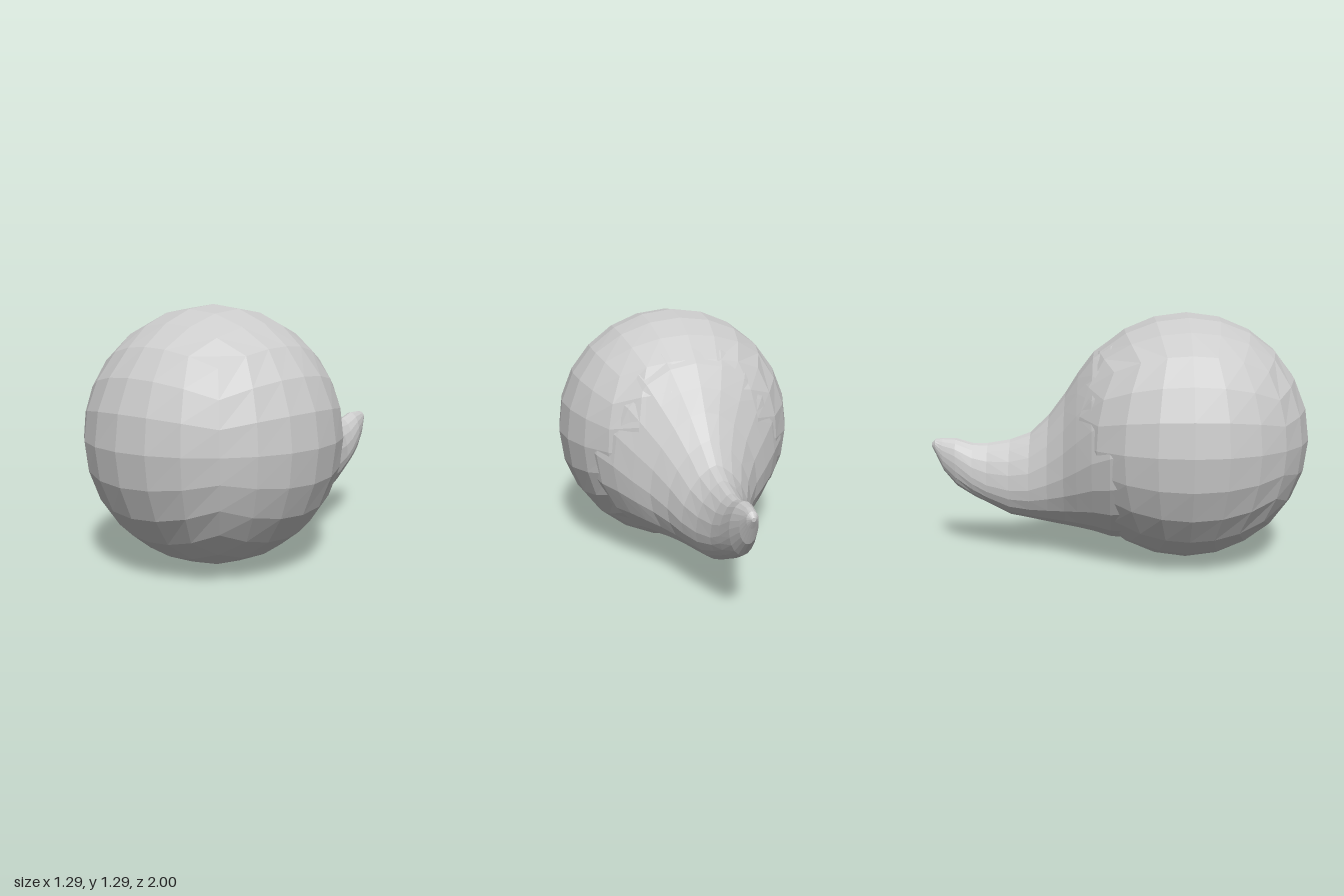
import * as THREE from 'three';

const R = 0.647;
const CENTER = new THREE.Vector3(0, 0.648, 0.353);
const material = new THREE.MeshStandardMaterial({
  color: 0xcccccc, flatShading: true, side: THREE.DoubleSide,
});

function meshFrom(name, positions, index) {
  const geometry = new THREE.BufferGeometry();
  geometry.setAttribute('position', new THREE.Float32BufferAttribute(positions, 3));
  geometry.setIndex(index);
  geometry.computeVertexNormals();
  const mesh = new THREE.Mesh(geometry, material);
  mesh.name = name;
  return mesh;
}

// Ball: a cube grid pushed out to a sphere, left open where the tail covers it
function createBody() {
  const box = new THREE.BoxGeometry(2, 2, 2, 6, 6, 6);
  const pos = box.attributes.position;
  const v = new THREE.Vector3();
  const spread = (t) => Math.tan(t * Math.PI / 4);
  const points = [];
  for (let i = 0; i < pos.count; i++) {
    v.fromBufferAttribute(pos, i);
    v.set(spread(v.x), spread(v.y), spread(v.z)).setLength(R).add(CENTER);
    points.push(v.x, v.y, v.z);
  }
  const index = [];
  for (let i = 0; i < box.index.count; i += 3) {
    const tri = [0, 1, 2].map((k) => box.index.getX(i + k));
    if (tri.some((k) => points[k * 3 + 2] > -0.12)) index.push(...tri);
  }
  return meshFrom('body', points, index);
}

// Tail: cross-sections [z, top, bottom, half width, height of widest point, upper pinch]
function createTail() {
  const sections = [
    [0.04, 1.19, 0.10, 0.545, 0.648, 1],
    [-0.04, 1.155, 0.105, 0.51, 0.62, 1],
    [-0.13, 1.09, 0.13, 0.44, 0.58, 1],
    [-0.21, 0.985, 0.145, 0.36, 0.52, 1.05],
    [-0.28, 0.875, 0.155, 0.285, 0.47, 1.15],
    [-0.37, 0.755, 0.17, 0.22, 0.42, 1.3],
    [-0.47, 0.66, 0.19, 0.175, 0.38, 1.4],
    [-0.58, 0.62, 0.21, 0.135, 0.37, 1.4],
    [-0.70, 0.60, 0.27, 0.10, 0.39, 1.3],
    [-0.78, 0.60, 0.31, 0.085, 0.43, 1.2],
    [-0.87, 0.627, 0.365, 0.068, 0.50, 1],
    [-0.94, 0.627, 0.45, 0.045, 0.54, 1],
    [-0.98, 0.622, 0.54, 0.028, 0.585, 1],
    [-1.0, 0.60, 0.58, 0.01, 0.59, 1],
  ];
  const sides = 20;
  const points = [], index = [];
  for (const [z, top, bottom, width, mid, pinch] of sections) {
    for (let j = 0; j < sides; j++) {
      const a = (j / sides) * Math.PI * 2;
      const c = Math.cos(a), s = Math.sin(a);
      const x = Math.sign(c) * width * Math.abs(c) ** (s > 0 ? pinch : 1);
      points.push(x, mid + s * (s > 0 ? top - mid : mid - bottom), z);
    }
  }
  for (let i = 0; i < sections.length - 1; i++) {
    for (let j = 0; j < sides; j++) {
      const a = i * sides + j, b = i * sides + (j + 1) % sides;
      index.push(a, a + sides, b, b, a + sides, b + sides);
    }
  }
  // Close the tip
  const last = (sections.length - 1) * sides;
  for (let j = 1; j < sides - 1; j++) index.push(last, last + j + 1, last + j);
  return meshFrom('tail', points, index);
}

export function createModel() {
  const group = new THREE.Group();
  group.name = 'tailedBall';
  group.add(createBody(), createTail());
  return group;
}
